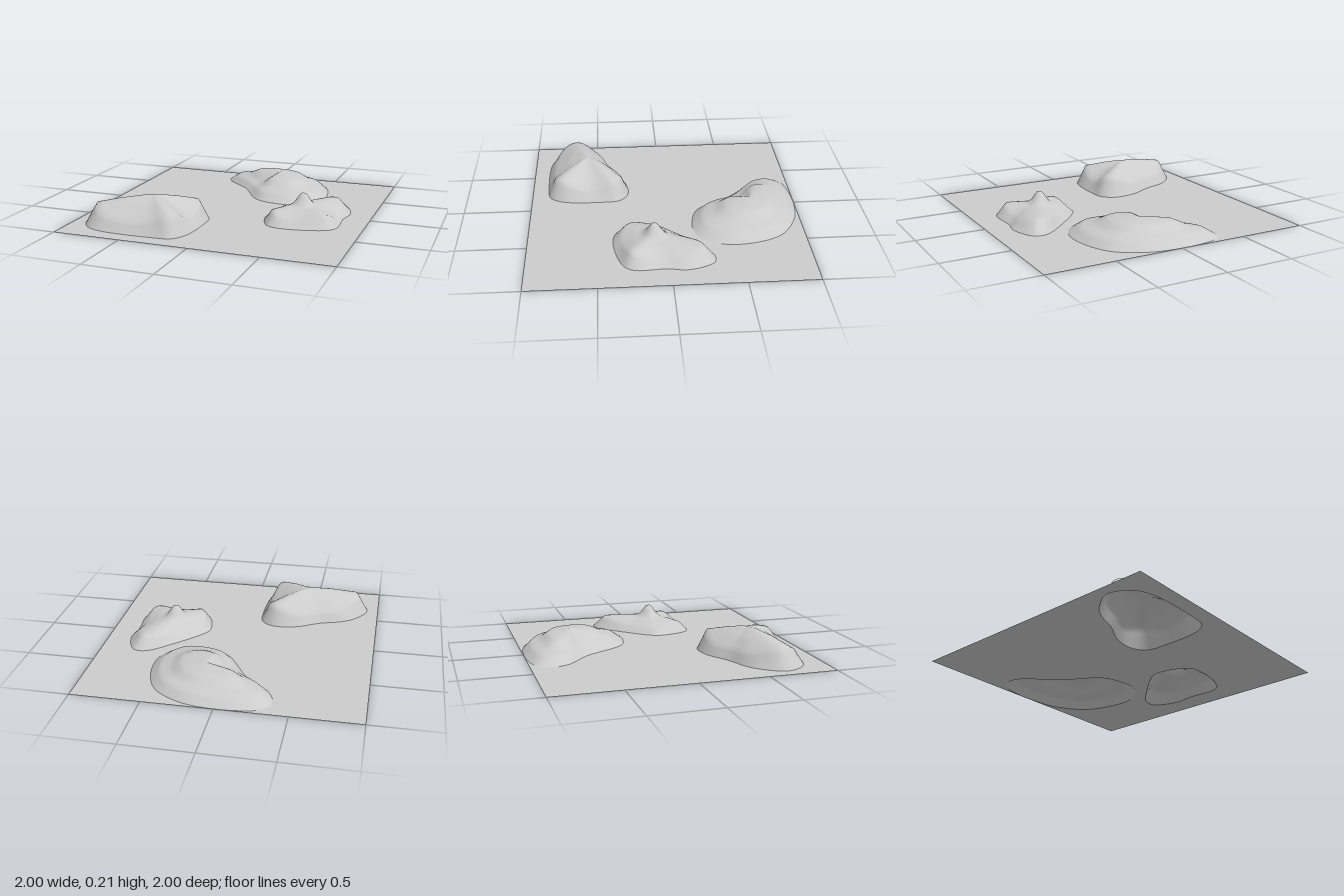
import * as THREE from 'three';

// Each mound: summit [x, z] and height, rim of [x, z] points, and knots of
// [way from rim to summit, usual height, height along the accent directions].
// Accents are angles in degrees, fading out over the given spread.
const mounds = [
  {
    name: 'frontLeftMound', centre: [-0.44, 0.57], height: 0.21, knob: 0,
    knots: [[0.17, 0.075, 0.145], [0.55, 0.155, 0.182], [0.85, 0.198, 0.205]],
    accents: [165, -42, 42], spread: 22,
    rim: [
      [-0.915, 0.66], [-0.826, 0.51], [-0.725, 0.436], [-0.56, 0.377], [-0.377, 0.28],
      [-0.2, 0.265], [-0.11, 0.334], [-0.094, 0.463], [-0.115, 0.76], [-0.18, 0.86],
      [-0.3, 0.88], [-0.735, 0.866], [-0.86, 0.795],
    ],
  },
  {
    name: 'rightMound', centre: [0.53, 0.1], height: 0.113, knob: 0.08,
    knots: [[0.2, 0.045, 0.088], [0.5, 0.085, 0.1], [0.75, 0.105, 0.108]],
    accents: [-65, 42, 140], spread: 25,
    rim: [
      [0.26, 0.12], [0.29, 0.045], [0.51, -0.19], [0.617, -0.286], [0.69, -0.318],
      [0.76, -0.3], [0.83, -0.12], [0.81, 0.03], [0.815, 0.25], [0.76, 0.325],
      [0.45, 0.392], [0.33, 0.35],
    ],
  },
  {
    name: 'backMound', centre: [0.13, -0.64], height: 0.145, knob: 0,
    knots: [[0.17, 0.055, 0.035], [0.38, 0.08, 0.055], [0.57, 0.125, 0.08]],
    accents: [150], spread: 32,
    rim: [
      [-0.37, -0.853], [-0.32, -0.945], [-0.13, -0.993], [0.094, -0.99], [0.26, -0.95],
      [0.45, -0.82], [0.54, -0.586], [0.53, -0.37], [0.4, -0.21], [0.2, -0.2],
      [0.05, -0.26], [-0.147, -0.554], [-0.334, -0.73],
    ],
  },
];

const lerp = THREE.MathUtils.lerp;

// Rounded closed rim with the accent weight of each spoke
function smoothRim({ rim, centre, accents, spread }) {
  const curve = new THREE.CatmullRomCurve3(
    rim.map(([x, z]) => new THREE.Vector3(x, 0, z)), true, 'centripetal');
  return curve.getPoints(60).slice(0, -1).map(({ x, z }) => {
    const angle = THREE.MathUtils.radToDeg(Math.atan2(z - centre[1], x - centre[0]));
    const weights = accents.map(a => {
      const gap = Math.abs(THREE.MathUtils.euclideanModulo(angle - a + 180, 360) - 180);
      return Math.exp(-((gap / spread) ** 2));
    });
    return { x, z, weight: Math.max(...weights) };
  });
}

// Rings from rim to summit, with an optional small round knob on top
function moundGeometry({ centre, height, knots, knob }, rim) {
  const [cx, cz] = centre;
  const profile = [[0, 0, 0], ...knots, [1, height, height]];
  const n = rim.length, steps = 4, rings = (profile.length - 1) * steps;
  const pos = [], idx = [];
  for (let r = 0; r < rings; r++) {
    const s = Math.floor(r / steps), f = (r % steps) / steps;
    const [t, usual, accent] = profile[s].map((v, i) => lerp(v, profile[s + 1][i], f));
    for (const p of rim) {
      const x = lerp(p.x, cx, t), z = lerp(p.z, cz, t);
      const reach = Math.hypot(x - cx, z - cz) / 0.055;
      pos.push(x, lerp(usual, accent, p.weight) + knob * Math.exp(-(reach ** 2.6)), z);
    }
    for (let i = 0; i < n; i++) {
      const a = r * n + i, b = r * n + (i + 1) % n;
      if (r === rings - 1) idx.push(a, rings * n, b);
      else idx.push(a, a + n, b, b, a + n, b + n);
    }
  }
  pos.push(cx, height + knob, cz);
  const geo = new THREE.BufferGeometry();
  geo.setAttribute('position', new THREE.Float32BufferAttribute(pos, 3));
  geo.setIndex(idx);
  geo.computeVertexNormals();
  return geo;
}

export function createModel() {
  const model = new THREE.Group();
  model.name = 'terrain';
  const stone = new THREE.MeshStandardMaterial({ color: 0xcccccc, side: THREE.DoubleSide });
  stone.name = 'light grey';

  // Square ground sheet, open beneath each hollow mound
  const sheet = new THREE.Shape().moveTo(-1, -1).lineTo(1, -1).lineTo(1, 1).lineTo(-1, 1);
  for (const m of mounds) {
    const rim = smoothRim(m);
    sheet.holes.push(new THREE.Path(rim.map(p => new THREE.Vector2(p.x, -p.z))));
    const mesh = new THREE.Mesh(moundGeometry(m, rim), stone);
    mesh.name = m.name;
    model.add(mesh);
  }
  const ground = new THREE.Mesh(new THREE.ShapeGeometry(sheet).rotateX(-Math.PI / 2), stone);
  ground.name = 'ground';
  model.add(ground);
  return model;
}
